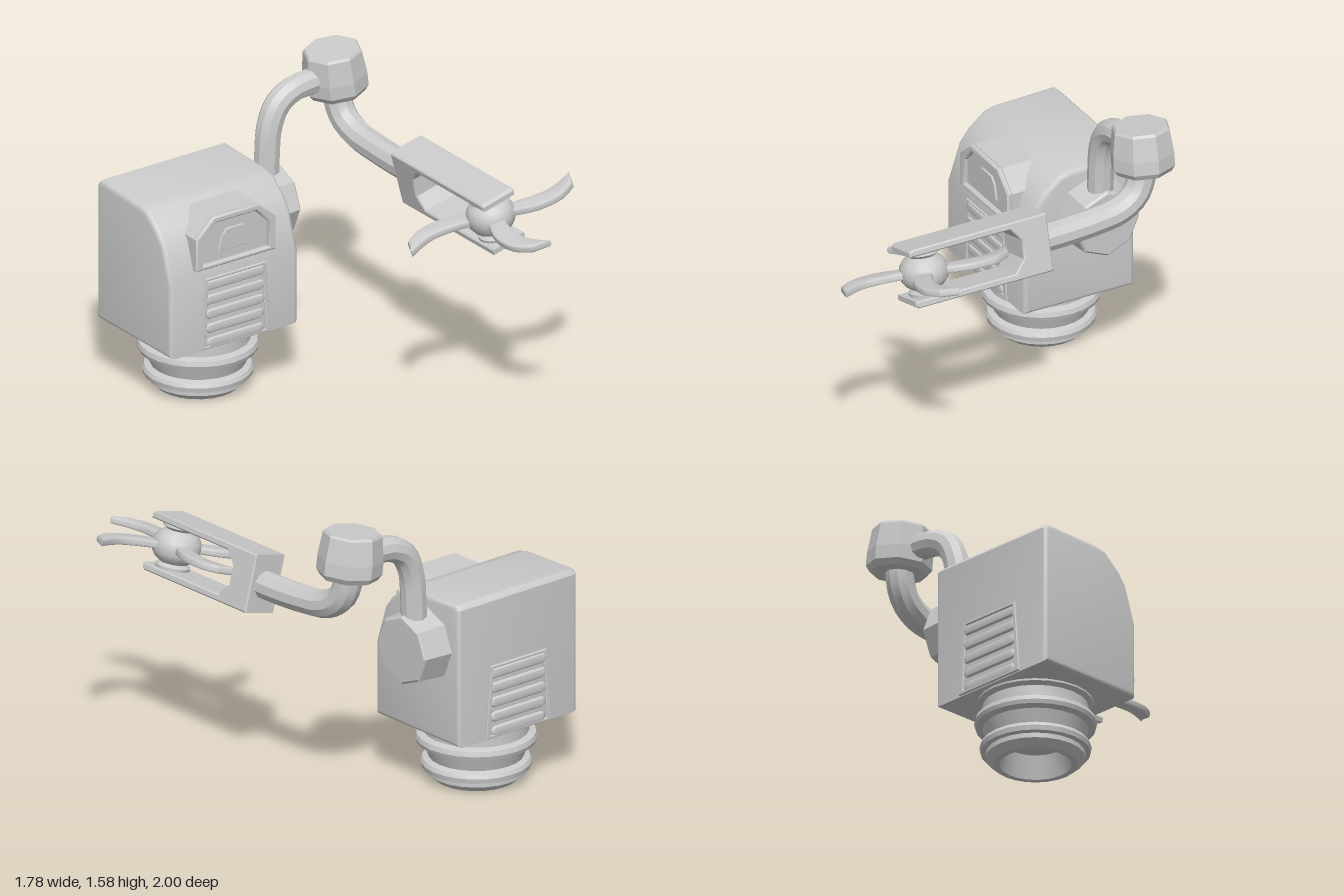
import * as THREE from 'three';
import { toCreasedNormals } from 'three/addons/utils/BufferGeometryUtils.js';

const material = new THREE.MeshStandardMaterial({ color: 0xcccccc });
const V = (x, y, z) => new THREE.Vector3(x, y, z);
const toShape = (pts) => new THREE.Shape(pts.map(([x, y]) => new THREE.Vector2(x, y)));

function add(parent, name, geometry, crease = 0.6) {
  const mesh = new THREE.Mesh(toCreasedNormals(geometry, crease), material);
  mesh.name = name;
  parent.add(mesh);
  return mesh;
}

// Extrusion from z = from to z = to, bevel kept inside the outline
function slab(shape, from, to, bevel = 0, segments = 1) {
  const g = new THREE.ExtrudeGeometry(shape, {
    depth: to - from - 2 * bevel, bevelEnabled: bevel > 0, bevelSize: bevel,
    bevelThickness: bevel, bevelOffset: -bevel, bevelSegments: segments, curveSegments: 8,
  });
  return g.translate(0, 0, from + bevel);
}

// Outline given as [z, y], extruded along x
const sideSlab = (pts, from, to, bevel, segments) =>
  slab(toShape(pts.map(([z, y]) => [-z, y])), from, to, bevel, segments).rotateY(Math.PI / 2);

const lathe = (pts, sides) =>
  new THREE.LatheGeometry(pts.map(([r, y]) => new THREE.Vector2(r, y)), sides);

const tube = (pts, r) =>
  new THREE.TubeGeometry(new THREE.CatmullRomCurve3(pts), 20, r, 10, false);

// Symmetric hood outline: flat bottom, upright sides, chamfered top
const hood = (w, top, y0, y1, y2) =>
  [[-w, y0], [w, y0], [w, y1], [top, y2], [-top, y2], [-w, y1]];

// Sloping grille frame with rounded slats, facing +z from z = 0
function makeGrille(name) {
  const grille = new THREE.Group();
  grille.name = name;
  const frame = toShape([[-0.215, 0.345], [0.215, 0.345], [0.185, 0.73], [-0.185, 0.73]]);
  frame.holes.push(toShape([[-0.185, 0.36], [0.185, 0.36], [0.165, 0.715], [-0.165, 0.715]]));
  add(grille, 'grilleFrame', slab(frame, -0.02, 0.01, 0.004));
  for (let i = 0; i < 5; i++) {
    const slat = new THREE.CapsuleGeometry(0.028, 0.32 - 0.006 * (4 - i) + 0.0, 4, 8)
      .rotateZ(Math.PI / 2).scale(1, 1, 0.5);
    add(grille, 'grilleSlat', slat).position.set(0, 0.375 + i * 0.078, 0);
  }
  return grille;
}

export function createModel() {
  const model = new THREE.Group();
  model.name = 'headWithRotorArm';

  // Head block with sloped brow
  add(model, 'headBlock', sideSlab([
    [-0.355, 0.34], [-0.355, 0.735], [-0.42, 0.935], [-0.47, 1.0], [-0.56, 1.075],
    [-0.62, 1.09], [-0.96, 1.1], [-0.985, 1.075], [-0.985, 0.34],
  ].reverse(), -0.895, -0.11, 0.025, 3));

  // Visor with recessed panel
  const visor = new THREE.Group();
  visor.name = 'visor';
  visor.position.x = -0.5;
  model.add(visor);
  add(visor, 'visorBody', slab(toShape(hood(0.245, 0.14, 0.785, 0.96, 1.06)), -0.62, -0.365));
  const rim = toShape(hood(0.245, 0.14, 0.785, 0.96, 1.06));
  rim.holes.push(toShape(hood(0.2, 0.12, 0.81, 0.945, 1.025)));
  add(visor, 'visorRim', slab(rim, -0.37, -0.34, 0.008));
  const windowFrame = toShape([[-0.1, 0.855], [0.1, 0.855], [0.08, 0.935], [0.05, 0.97], [-0.05, 0.97], [-0.08, 0.935]]);
  add(visor, 'visorWindow', slab(windowFrame, -0.37, -0.355, 0.003));

  // Grilles, front and back
  const frontGrille = makeGrille('frontGrille');
  frontGrille.position.set(-0.5, 0, -0.357);
  const backGrille = makeGrille('backGrille');
  backGrille.position.set(-0.5, 0, -0.986);
  backGrille.rotation.y = Math.PI;
  model.add(frontGrille, backGrille);

  // Ribbed neck with a bore in its underside
  add(model, 'neck', lathe([
    [0, 0.12], [0.15, 0.12], [0.18, 0], [0.21, 0], [0.25, 0.035], [0.25, 0.06],
    [0.275, 0.065], [0.28, 0.09], [0.27, 0.11], [0.24, 0.12], [0.265, 0.19],
    [0.3, 0.2], [0.307, 0.22], [0.3, 0.245], [0.265, 0.255], [0.265, 0.315],
    [0.29, 0.33], [0.29, 0.36],
  ], 24), 0.5).position.set(-0.5, 0, -0.67);

  // Octagonal shoulder joint on the head's left side
  add(model, 'shoulderJoint', lathe([
    [0, -0.1], [0.195, -0.1], [0.183, 0.055], [0.172, 0.065], [0, 0.065],
  ], 8).rotateZ(-Math.PI / 2), 0.1).position.set(-0.01, 0.838, -0.738);

  // Upper arm: rises and bends outward
  add(model, 'upperArm', tube([
    V(-0.03, 0.92, -0.74), V(-0.025, 1.08, -0.74), V(-0.01, 1.24, -0.74), V(0.04, 1.35, -0.74),
    V(0.13, 1.405, -0.74), V(0.22, 1.418, -0.74), V(0.32, 1.42, -0.74),
  ], 0.067));

  // Octagonal elbow cap
  const elbow = add(model, 'elbowJoint', lathe([
    [0, -0.12], [0.145, -0.12], [0.166, -0.09], [0.166, -0.02], [0.15, 0.105], [0.14, 0.118], [0, 0.118],
  ], 8), 0.1);
  elbow.position.set(0.39, 1.445, -0.742);
  elbow.rotation.z = 0.12;

  // Forearm: drops and bends forward
  add(model, 'forearm', tube([
    V(0.39, 1.42, -0.738), V(0.4, 1.3, -0.735), V(0.41, 1.2, -0.69), V(0.42, 1.14, -0.59),
    V(0.425, 1.12, -0.45), V(0.428, 1.11, -0.28), V(0.43, 1.108, -0.08),
  ], 0.073));

  // Tilted hand: fork and rotor
  const hand = new THREE.Group();
  hand.name = 'hand';
  hand.position.set(0.43, 1.113, 0);
  hand.rotation.z = 0.255;
  model.add(hand);
  add(hand, 'fork', sideSlab([
    [-0.14, -0.152], [0.63, -0.152], [0.645, -0.14], [0.645, -0.115], [0.07, -0.115], [0.015, -0.05],
    [0.015, 0.05], [0.07, 0.115], [0.645, 0.115], [0.645, 0.14], [0.63, 0.152], [-0.14, 0.152],
  ].reverse(), -0.099, 0.099, 0.007));

  const rotor = new THREE.Group();
  rotor.name = 'rotor';
  rotor.position.z = 0.53;
  hand.add(rotor);
  add(rotor, 'rotorHub', lathe([
    [0, -0.135], [0.085, -0.135], [0.09, -0.1], [0.07, -0.085], [0.1, -0.065], [0.12, -0.035],
    [0.125, 0], [0.12, 0.035], [0.1, 0.065], [0.07, 0.085], [0.09, 0.1], [0.085, 0.135], [0, 0.135],
  ], 20));

  // Curved blades
  const blade = new THREE.Shape();
  blade.moveTo(0.04, -0.06);
  blade.splineThru([[0.13, 0.02], [0.27, 0.075], [0.36, 0.075], [0.465, 0.045]].map((p) => new THREE.Vector2(...p)));
  blade.lineTo(0.42, 0.14);
  blade.splineThru([[0.32, 0.18], [0.2, 0.165], [0.1, 0.11], [0.02, 0.04]].map((p) => new THREE.Vector2(...p)));
  const bladeGeometry = slab(blade, -0.02, 0.02, 0.014, 2).rotateX(Math.PI / 2);
  for (const degrees of [0, 80, 180, 265]) {
    add(rotor, 'rotorBlade', bladeGeometry).rotation.y = -THREE.MathUtils.degToRad(degrees);
  }
  return model;
}
